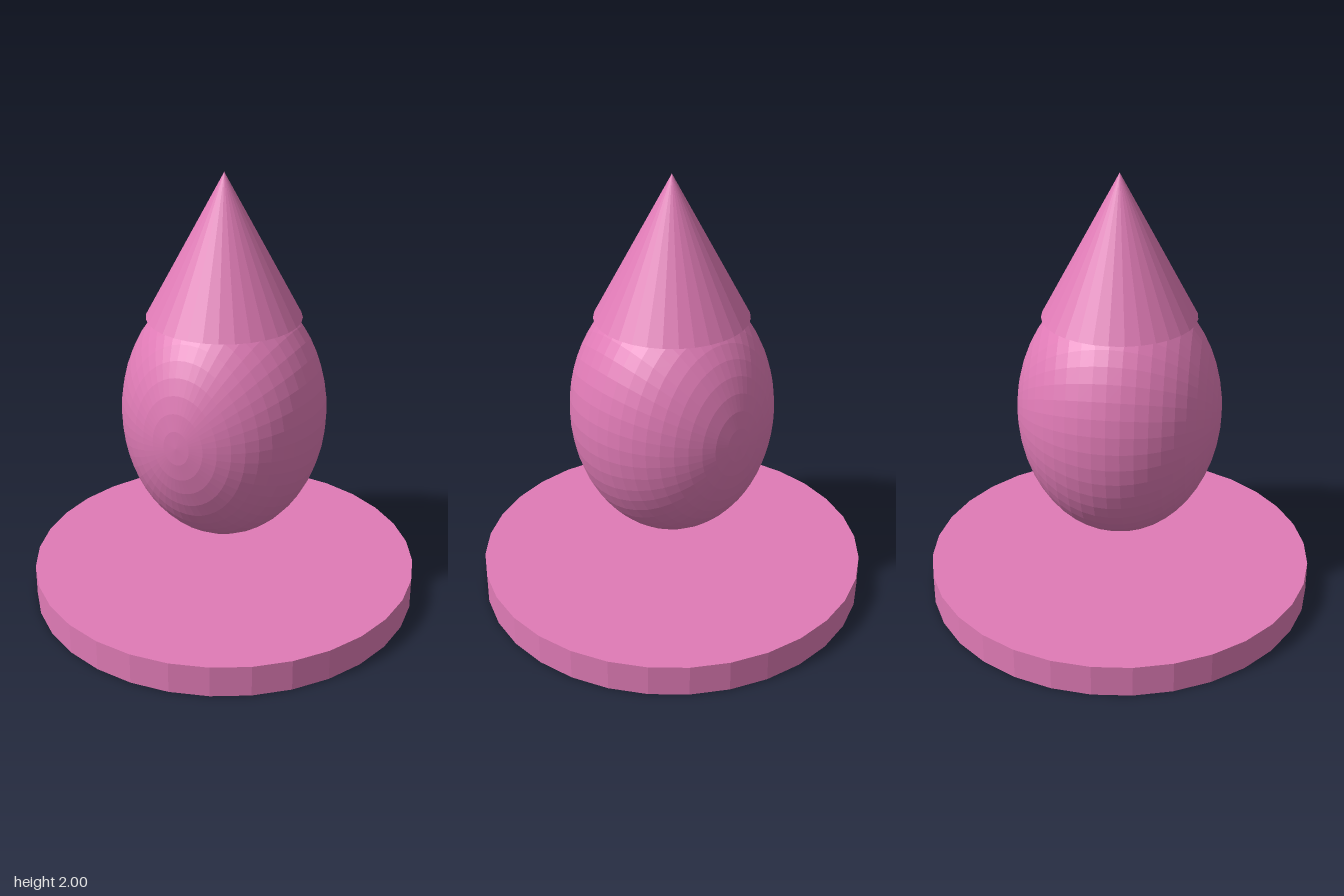
import * as THREE from 'three';

export function createModel() {
  const model = new THREE.Group();
  const pink = new THREE.MeshStandardMaterial({ color: 0xe07bb6, flatShading: true });
  pink.name = 'pink';

  const add = (name, geometry, y) => {
    const mesh = new THREE.Mesh(geometry, pink);
    mesh.name = name;
    mesh.position.y = y;
    model.add(mesh);
    return mesh;
  };

  // Flat round base
  add('baseDisc', new THREE.CylinderGeometry(0.895, 0.895, 0.145, 32), 0.0725);

  // Floating egg-shaped body, its poles facing front and back
  const egg = new THREE.SphereGeometry(0.463, 48, 24);
  egg.rotateX(Math.PI / 2).scale(1, 0.6 / 0.463, 1);
  add('body', egg, 0.912);

  // Pointed cap with a closed underside
  add('coneCap', new THREE.ConeGeometry(0.345, 0.64, 32), 1.68);

  return model;
}
